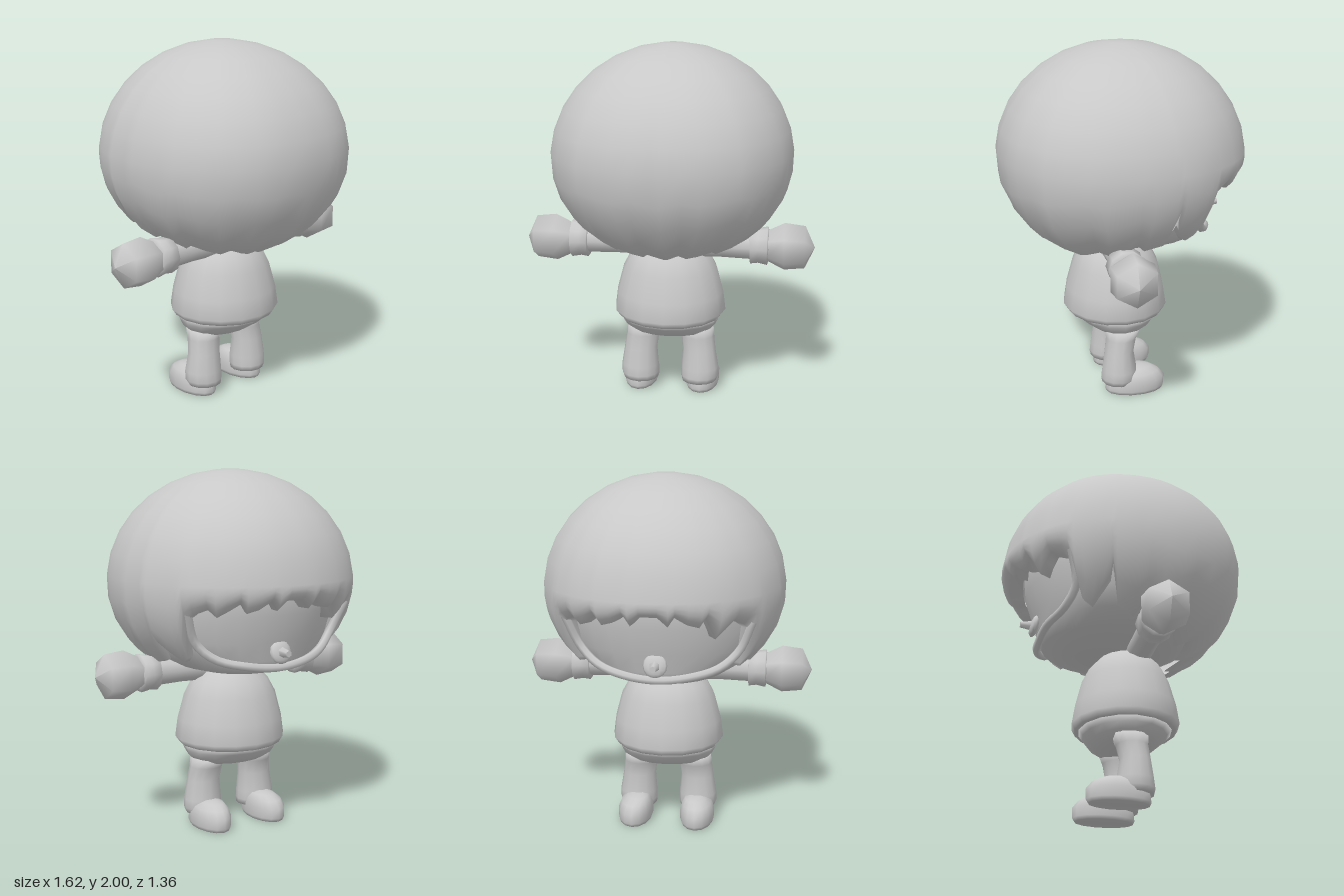
import * as THREE from 'three';

const material = new THREE.MeshStandardMaterial({ color: 0xc8c8c8, side: THREE.DoubleSide });
material.name = 'plain grey';

// Skin a grid of rows (bottom to top, each running from -z towards +x) and cap it
function skin(rows, capBottom, capTop) {
  const n = rows[0].length, pos = rows.flat(2), index = [];
  for (let j = 0; j + 1 < rows.length; j++) {
    for (let i = 0; i < n; i++) {
      const a = j * n + i, b = j * n + (i + 1) % n;
      index.push(a, a + n, b, b, a + n, b + n);
    }
  }
  const cap = (row, start, up) => {
    const c = [0, 1, 2].map(k => row.reduce((s, p) => s + p[k], 0) / n);
    const m = pos.length / 3;
    pos.push(...c);
    for (let i = 0; i < n; i++) {
      const a = start + i, b = start + (i + 1) % n;
      index.push(...(up ? [a, m, b] : [b, m, a]));
    }
  };
  if (capBottom) cap(rows[0], 0, false);
  if (capTop) cap(rows[rows.length - 1], (rows.length - 1) * n, true);
  const g = new THREE.BufferGeometry();
  g.setAttribute('position', new THREE.Float32BufferAttribute(pos, 3));
  g.setIndex(index);
  g.computeVertexNormals();
  return g;
}

// Stack of oval rings: [y, centre x, half width, front z, back z]
function loft(rings, n) {
  return skin(rings.map(([y, cx, rx, zf, zb]) => Array.from({ length: n }, (_, i) => {
    const a = i / n * Math.PI * 2;
    return [cx + rx * Math.sin(a), y, (zf + zb) / 2 - (zb - zf) / 2 * Math.cos(a)];
  })), true, true);
}

// Hair shell: a rounded dome cut off along a jagged hairline
function hairGeometry() {
  // [degrees from the face, height of the hairline]
  const line = [
    [4, 1.34], [9, 1.29], [12, 1.34], [18, 1.3], [24, 1.28], [27, 1.33], [33, 1.29], [38, 1.26],
    [42, 1.3], [49, 1.27], [53, 1.24], [56, 1.03], [60, 1.0], [66, 1.05], [72, 1.11], [74, 1.17],
    [76, 1.0], [87, 0.97], [92, 1.02], [100, 0.96], [108, 0.92], [115, 0.97], [125, 0.93],
    [135, 0.9], [142, 0.94], [152, 0.9], [160, 0.88], [168, 0.92], [178, 0.86],
  ];
  // One long lock of the fringe hangs on the right side only
  const edge = [...line, ...line.map(([a, y]) => [360 - a, a === 33 ? 1.21 : y]).reverse()];
  const cy = 1.38, bend = 1.42;
  const point = (deg, phi, shrink) => {
    const a = deg * Math.PI / 180, s = Math.sin(a), c = Math.cos(a);
    const power = c > 0 ? 2.08 : 2.25;
    const round = (Math.abs(s) ** power + Math.abs(c) ** power) ** (-1 / power);
    const r = Math.sin(phi) * round * shrink, h = Math.cos(phi);
    return [0.012 + 0.668 * r * s, cy + h * (h > 0 ? 0.62 : 0.58), -0.682 * r * c];
  };
  const angle = y => Math.acos((y - cy) / (y > cy ? 0.62 : 0.58));
  const fringe = a => Math.min(a, 360 - a) < 54;
  // Lip turned in under the hairline, with the fringe curling towards the face
  const rows = [edge.map(([a, y]) => point(a, angle(y), fringe(a) ? 0.82 : 0.88))];
  // Locks below the bend follow the hairline, the dome above is even
  const top = angle(bend);
  for (let j = 4; j >= 1; j--) {
    rows.push(edge.map(([a, y]) => {
      const curl = fringe(a) ? 0.07 : 0.01;
      return point(a, top + (angle(y) - top) * j / 4, 1 - curl * (j / 4) ** 3);
    }));
  }
  for (let j = 8; j >= 1; j--) rows.push(edge.map(([a]) => point(a, top * (j - 0.5) / 7.5, 1)));
  return skin(rows, false, true);
}

export function createModel() {
  const model = new THREE.Group();
  const add = (name, geometry, parent = model) => {
    const mesh = new THREE.Mesh(geometry, material);
    mesh.name = name;
    parent.add(mesh);
    return mesh;
  };

  add('hair', hairGeometry());

  // Head with a broad jaw and a face leaning slightly forward
  add('head', loft([
    [0.88, 0, 0.1, -0.14, 0.1], [0.9, 0, 0.22, -0.28, 0.2], [0.935, 0, 0.34, -0.44, 0.3],
    [1.0, 0, 0.46, -0.465, 0.4], [1.1, 0, 0.53, -0.49, 0.48], [1.25, 0, 0.57, -0.54, 0.54],
    [1.45, 0, 0.57, -0.56, 0.56], [1.65, 0, 0.46, -0.44, 0.46],
  ], 28));

  // Raised rim running from cheek to cheek under the chin
  const half = [[0.5, 1.28, -0.38], [0.43, 1.11, -0.34], [0.33, 1.02, -0.38], [0.18, 0.98, -0.445]];
  const rim = [...half, [0, 0.96, -0.46], ...half.map(([x, y, z]) => [-x, y, z]).reverse()];
  add('faceRim', new THREE.TubeGeometry(
    new THREE.CatmullRomCurve3(rim.map(p => new THREE.Vector3(...p))), 32, 0.024, 6));

  // Small round mouth with a blunt tip
  const mouth = add('mouth', new THREE.SphereGeometry(0.065, 12, 8));
  mouth.scale.z = 0.4;
  mouth.rotation.x = 0.25;
  mouth.position.set(0, 1.05, -0.49);
  const tip = add('mouthTip', new THREE.CylinderGeometry(0.018, 0.032, 0.08, 6));
  tip.rotation.x = -Math.PI / 2;
  tip.position.set(0, 1.05, -0.53);

  // Flared top and rounded hips
  add('shirt', loft([
    [0.46, 0, 0.292, -0.25, 0.305], [0.495, 0, 0.318, -0.267, 0.327], [0.6, 0, 0.305, -0.25, 0.31],
    [0.74, 0, 0.268, -0.215, 0.272], [0.82, 0, 0.225, -0.175, 0.235], [0.88, 0, 0.165, -0.12, 0.18],
    [0.92, 0, 0.09, -0.06, 0.11],
  ], 16));
  add('hips', loft([
    [0.347, 0, 0.11, -0.05, 0.1], [0.36, 0, 0.21, -0.12, 0.16], [0.395, 0, 0.258, -0.175, 0.215],
    [0.43, 0, 0.275, -0.205, 0.255], [0.47, 0, 0.288, -0.235, 0.292],
  ], 16));

  for (const side of [1, -1]) {
    const name = side > 0 ? 'left' : 'right';

    // Outstretched arm, turned about its own length
    const arm = new THREE.Group();
    arm.name = name + 'Arm';
    arm.position.set(0, 0.897, 0.075);
    arm.rotation.z = -side * Math.PI / 2;
    model.add(arm);
    const turned = (part, points, sides) => add(part,
      new THREE.LatheGeometry(points.map(([r, y]) => new THREE.Vector2(r, y)), sides), arm);
    turned('sleeve', [[0.078, 0.08], [0.073, 0.3], [0.078, 0.47]], 10);
    turned('cuff', [[0.07, 0.455], [0.103, 0.458], [0.097, 0.5], [0.107, 0.552], [0.08, 0.56]], 10);
    turned('hand', [[0.088, 0.55], [0.135, 0.645], [0.122, 0.757], [0, 0.812]], 6)
      .rotation.y = Math.PI / 2;

    // Leg widening to the ankle, and a rounded shoe
    const x = side * 0.17;
    add(name + 'Leg', loft([
      [0.06, x, 0.1, -0.05, 0.14], [0.09, side * 0.175, 0.108, -0.06, 0.147],
      [0.14, side * 0.175, 0.108, -0.06, 0.14], [0.25, x, 0.095, -0.042, 0.125],
      [0.33, side * 0.16, 0.095, -0.06, 0.115], [0.385, side * 0.155, 0.095, -0.085, 0.12],
    ], 12));
    add(name + 'Shoe', loft([
      [0, side * 0.18, 0.09, -0.21, 0.115], [0.02, side * 0.18, 0.098, -0.222, 0.125],
      [0.075, side * 0.18, 0.098, -0.222, 0.12], [0.115, side * 0.177, 0.085, -0.19, 0.08],
      [0.14, x, 0.06, -0.14, 0.03], [0.15, x, 0.03, -0.09, 0],
    ], 14));
  }
  return model;
}
